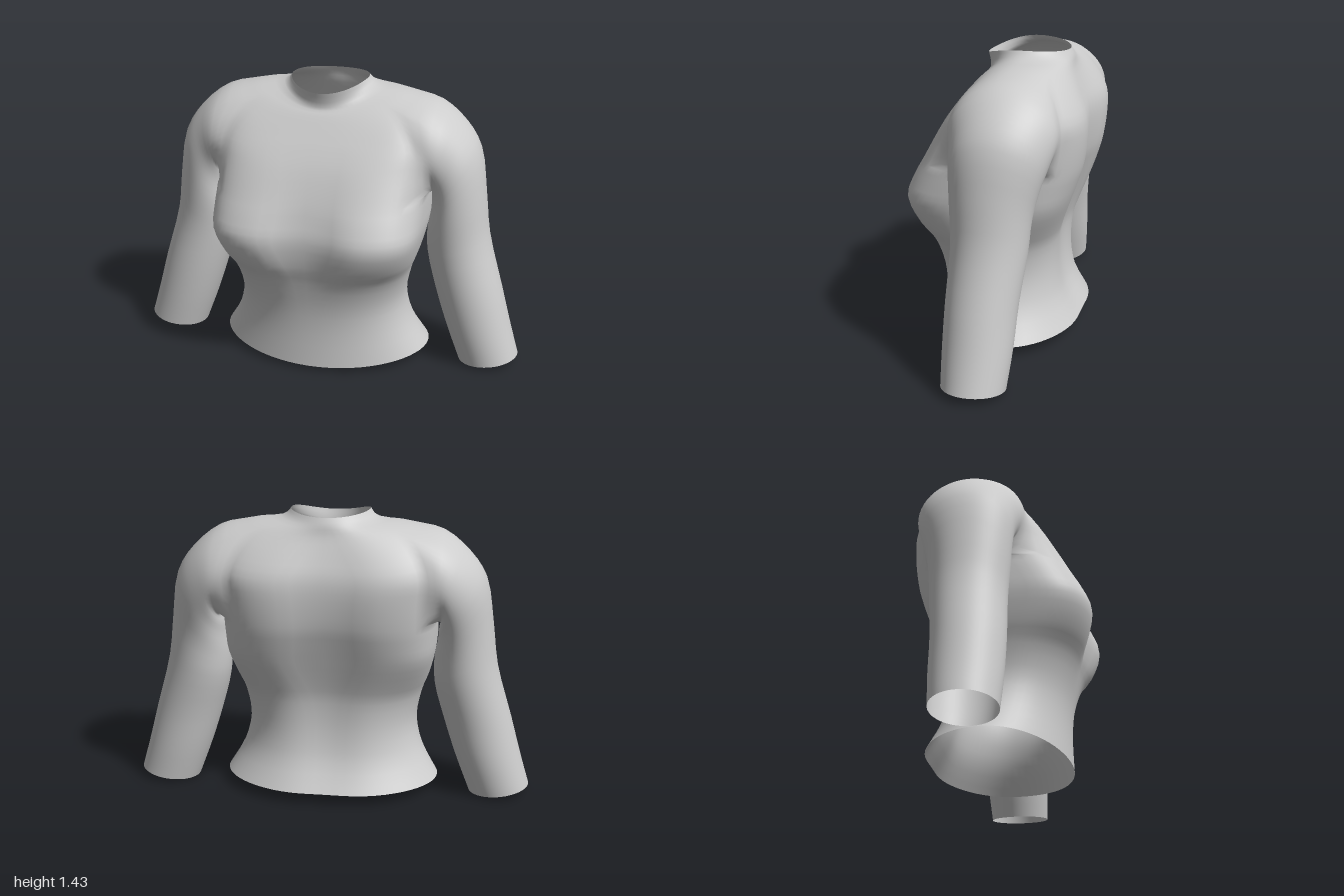
import * as THREE from 'three';

const N = 64;   // points around the body
const SUB = 3;  // rows between key sections
const K = 7;    // half width of the armhole, in points
const STEPS = 24; // rings along each sleeve

// Body sections: y at side, half width, front z, back z, squareness,
// front cleft, spine groove, front drop, back drop
const BODY = [
  [0.065, 0.54, 0.305, -0.405, 2.0, 0, 0.02, 0.038, 0],
  [0.2, 0.46, 0.3, -0.337, 2.1, 0, 0.03, 0, 0],
  [0.35, 0.425, 0.315, -0.31, 2.2, 0.005, 0.035, 0, 0],
  [0.5, 0.45, 0.36, -0.31, 2.4, 0.02, 0.035, 0, 0],
  [0.6, 0.485, 0.415, -0.33, 2.9, 0.05, 0.035, 0, 0],
  [0.73, 0.515, 0.445, -0.372, 3.7, 0.075, 0.04, 0, 0],
  [0.83, 0.52, 0.41, -0.407, 3.6, 0.06, 0.045, 0, 0],
  [0.92, 0.52, 0.36, -0.432, 3.5, 0.035, 0.045, 0, 0],
  [1.05, 0.52, 0.285, -0.445, 3.6, 0.015, 0.045, 0, 0],
  [1.17, 0.52, 0.222, -0.435, 3.8, 0.005, 0.04, 0.03, 0.02],
  [1.3, 0.48, 0.175, -0.395, 3.0, 0, 0.03, 0.1, 0.06],
  [1.375, 0.4, 0.115, -0.345, 2.2, 0, 0.015, 0.095, 0.045],
  [1.398, 0.235, 0.085, -0.318, 2.0, 0, 0, 0.08, 0.015],
  [1.435, 0.19, 0.1, -0.3, 2.0, 0, 0, 0.045, 0.015],
];
const HOLE_LOW = 7 * SUB, HOLE_TOP = 11 * SUB, COLLAR = 12 * SUB;

// Sleeve sections: outer x, y, inner x, y, front z, back z
const SLEEVE = [
  [0.54, 1.342, 0.54, 0.9, 0.142, -0.368],
  [0.67, 1.24, 0.53, 0.86, 0.115, -0.348],
  [0.75, 1.12, 0.525, 0.8, 0.105, -0.322],
  [0.79, 0.9, 0.51, 0.7, 0.095, -0.285],
  [0.82, 0.68, 0.515, 0.58, 0.085, -0.27],
  [0.9, 0.4, 0.565, 0.39, 0.09, -0.245],
  [0.955, 0.2, 0.63, 0.19, 0.088, -0.235],
  [1.0, 0.05, 0.7, 0.005, 0.08, -0.22],
];

// Smooth interpolation between the body sections
function bodySection(row) {
  const last = BODY.length - 1;
  const i = Math.min(Math.floor(row / SUB), last - 1);
  const t = row / SUB - i;
  const at = (j) => BODY[Math.max(0, Math.min(last, j))];
  return BODY[i].map((_, c) => {
    const p0 = at(i - 1)[c], p1 = at(i)[c], p2 = at(i + 1)[c], p3 = at(i + 2)[c];
    const m1 = (p2 - p0) / 2, m2 = (p3 - p1) / 2;
    return p1 + t * (m1 + t * (3 * (p2 - p1) - 2 * m1 - m2 + t * (2 * (p1 - p2) + m1 + m2)));
  });
}

function bodyPoint(s, i) {
  const [y, w, front, back, n, cleft, groove, dropF, dropB] = s;
  const a = (i / N) * Math.PI * 2;
  const cos = Math.cos(a), sin = Math.sin(a);
  const round = (v) => Math.sign(v) * Math.pow(Math.abs(v), 2 / n);
  const x = w * round(cos);
  const dip = Math.exp(-((x / 0.15) ** 2)) * (sin > 0 ? -cleft : groove);
  const z = (front + back) / 2 + ((front - back) / 2) * round(sin) + dip;
  return new THREE.Vector3(x, y - (sin > 0 ? dropF : dropB) * sin * sin, z);
}

export function createModel() {
  const fabric = new THREE.MeshStandardMaterial({ color: 0xcccccc, side: THREE.DoubleSide });
  fabric.name = 'light grey fabric';

  const points = [];
  const faces = { body: [], collar: [], leftSleeve: [], rightSleeve: [] };
  const quad = (list, a, b, c, d, flip) =>
    flip ? list.push(a, b, d, d, b, c) : list.push(a, d, b, d, c, b);

  // Body and collar, leaving an armhole on each side
  const rows = (BODY.length - 1) * SUB;
  const id = (r, i) => r * N + ((i + N) % N);
  for (let r = 0; r <= rows; r++) {
    const section = bodySection(r);
    for (let i = 0; i < N; i++) points.push(bodyPoint(section, i));
  }
  const inHole = (r, i) =>
    r >= HOLE_LOW && r < HOLE_TOP && (i + K) % (N / 2) < 2 * K;
  for (let r = 0; r < rows; r++) {
    for (let i = 0; i < N; i++) {
      if (inHole(r, i)) continue;
      quad(r >= COLLAR ? faces.collar : faces.body,
        id(r, i), id(r, i + 1), id(r + 1, i + 1), id(r + 1, i));
    }
  }

  // Armhole edge: forward along the bottom, up, back along the top, down
  const edge = [];
  for (let i = -K; i < K; i++) edge.push([HOLE_LOW, i]);
  for (let r = HOLE_LOW; r < HOLE_TOP; r++) edge.push([r, K]);
  for (let i = K; i > -K; i--) edge.push([HOLE_TOP, i]);
  for (let r = HOLE_TOP; r > HOLE_LOW; r--) edge.push([r, -K]);
  const M = edge.length;

  // Each sleeve grows out of its armhole along smooth lines
  for (const side of [1, -1]) {
    const list = side > 0 ? faces.leftSleeve : faces.rightSleeve;
    const start = edge.map(([r, i]) => id(r, side > 0 ? i : N / 2 - i));
    const lines = start.map((v, j) => {
      const a = -Math.PI / 2 + ((j - K) / M) * Math.PI * 2;
      const path = SLEEVE.map(([ox, oy, ix, iy, zf, zb]) => new THREE.Vector3(
        side * ((ox + ix) / 2 + ((ox - ix) / 2) * Math.sin(a)),
        (oy + iy) / 2 + ((oy - iy) / 2) * Math.sin(a),
        (zf + zb) / 2 + ((zf - zb) / 2) * Math.cos(a)));
      return new THREE.CatmullRomCurve3([points[v], ...path]);
    });
    const base = points.length;
    for (let s = 1; s <= STEPS; s++) {
      for (const line of lines) points.push(line.getPoint(s / STEPS));
    }
    const ring = (s, j) => (s === 0 ? start[j % M] : base + (s - 1) * M + (j % M));
    for (let s = 0; s < STEPS; s++) {
      for (let j = 0; j < M; j++) {
        quad(list, ring(s, j), ring(s, j + 1), ring(s + 1, j + 1), ring(s + 1, j), side < 0);
      }
    }
  }

  // Normals are found over the whole garment so the seams stay smooth
  const whole = new THREE.BufferGeometry().setFromPoints(points);
  whole.setIndex(Object.values(faces).flat());
  whole.computeVertexNormals();

  const group = new THREE.Group();
  group.name = 'shirt';
  for (const [name, index] of Object.entries(faces)) {
    const part = new THREE.BufferGeometry();
    part.setAttribute('position', whole.getAttribute('position'));
    part.setAttribute('normal', whole.getAttribute('normal'));
    part.setIndex(index);
    const mesh = new THREE.Mesh(part, fabric);
    mesh.name = name;
    group.add(mesh);
  }
  return group;
}
